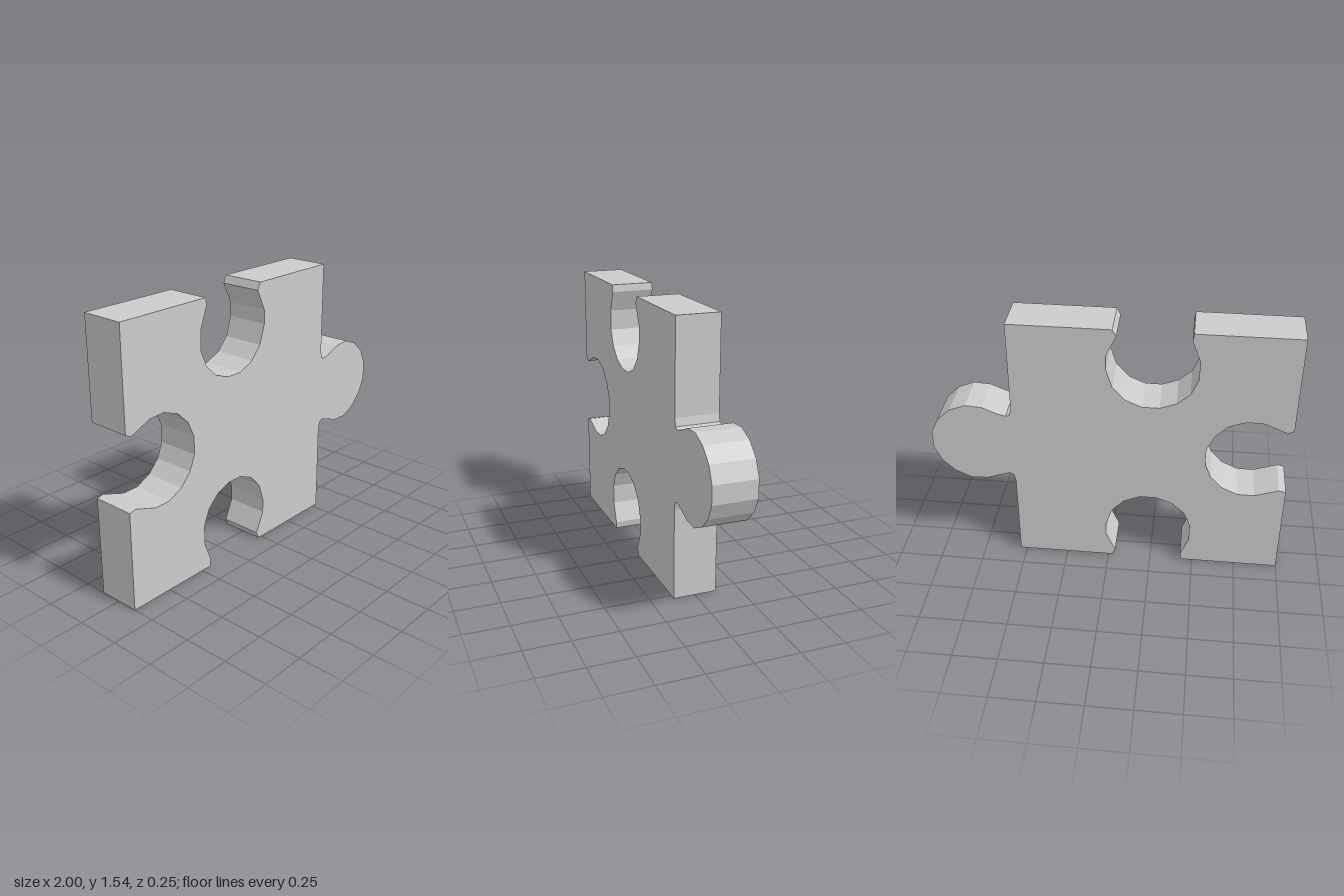
import * as THREE from 'three';

const LEFT = -1, RIGHT = 0.538, HEIGHT = 1.538, DEPTH = 0.245;

// Socket in the top edge, left to right; the bottom edge mirrors it
const topSocket = [
  [-0.436, HEIGHT], [-0.43, 1.497], [-0.475, 1.38], [-0.475, 1.267], [-0.436, 1.176],
  [-0.366, 1.112], [-0.275, 1.078], [-0.18, 1.078], [-0.088, 1.118], [-0.02, 1.192],
  [0.015, 1.3], [0.015, 1.38], [-0.04, 1.497], [-0.02, HEIGHT],
];
const bottomSocket = topSocket.map(([x, y]) => [x, HEIGHT - y]).reverse();

// Socket in the left edge, bottom to top
const leftSocket = [
  [LEFT, 0.562], [-0.96, 0.57], [-0.826, 0.524], [-0.73, 0.525], [-0.64, 0.567],
  [-0.575, 0.636], [-0.54, 0.722], [-0.54, 0.824], [-0.58, 0.914], [-0.65, 0.984],
  [-0.746, 1.02], [-0.84, 1.016], [-0.965, 0.963], [LEFT, 0.98],
];

// Knob on the right edge, top to bottom
const rightKnob = [
  [RIGHT, 1.016], [0.548, 0.973], [0.57, 0.965], [0.617, 0.978], [0.7, 1.013],
  [0.794, 1.02], [0.885, 0.984], [0.96, 0.914], [1, 0.824], [1, 0.722],
  [0.96, 0.636], [0.89, 0.567], [0.8, 0.524], [0.703, 0.527], [0.623, 0.556],
  [0.57, 0.572], [0.548, 0.56], [RIGHT, 0.513],
];

export function createModel() {
  const group = new THREE.Group();
  group.name = 'jigsawPiece';

  // Outline, clockwise from the lower left corner
  const outline = [
    [LEFT, 0], ...leftSocket,
    [LEFT, HEIGHT], ...topSocket,
    [RIGHT, HEIGHT], ...rightKnob,
    [RIGHT, 0], ...bottomSocket,
  ].map(([x, y]) => new THREE.Vector2(x, y));

  const geometry = new THREE.ExtrudeGeometry(new THREE.Shape(outline), {
    depth: DEPTH, bevelEnabled: false,
  });
  geometry.translate(0, 0, -DEPTH / 2);

  const piece = new THREE.Mesh(
    geometry,
    new THREE.MeshStandardMaterial({ color: 0xcccccc, flatShading: true }),
  );
  piece.name = 'puzzlePiece';
  group.add(piece);
  return group;
}
